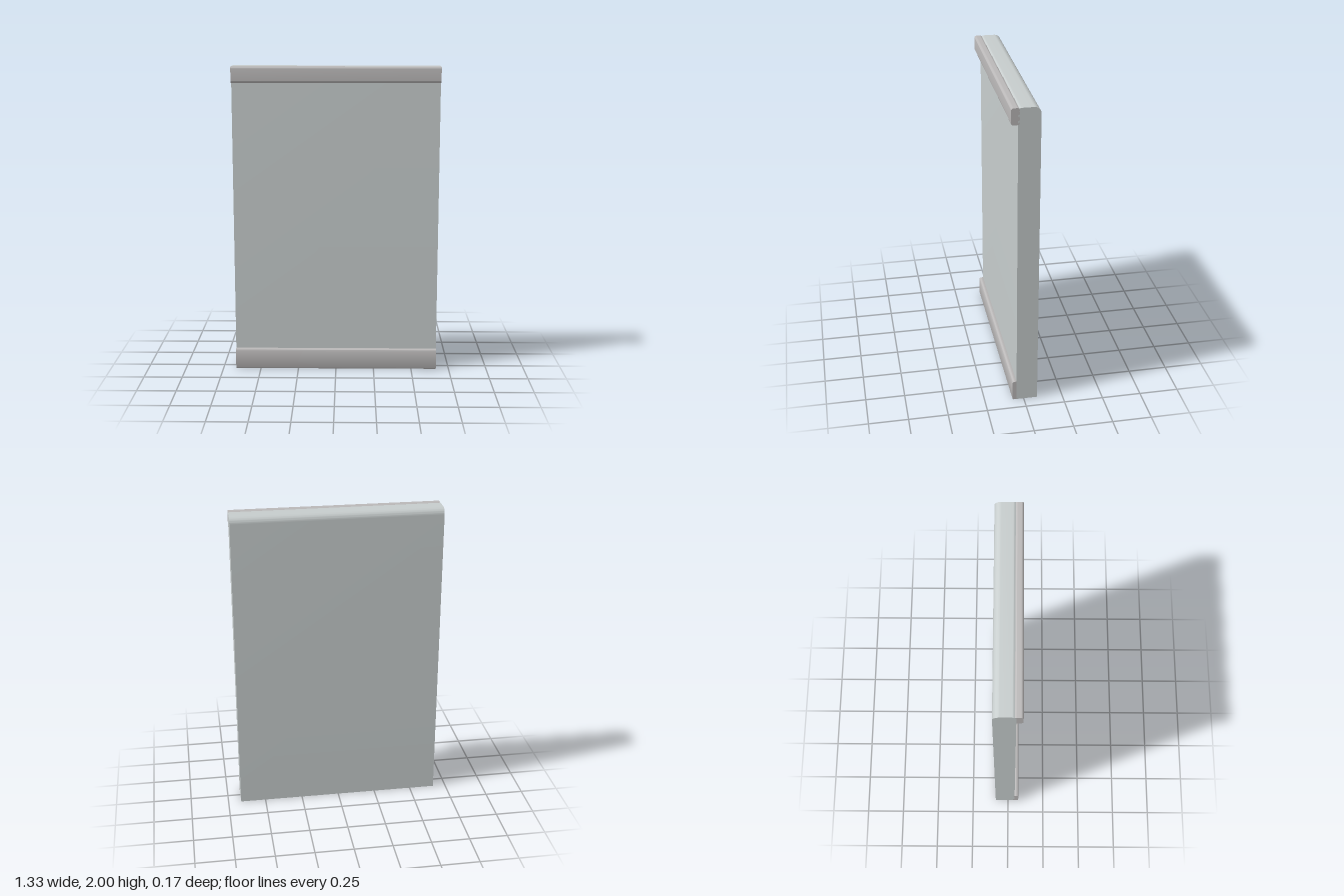
import * as THREE from 'three';
import { toCreasedNormals } from 'three/addons/utils/BufferGeometryUtils.js';

const WIDTH = 1.33;

// Rounded rectangle in the z-y plane; radii: bottom front, top front, top back, bottom back
function profile(back, front, low, high, [bf, tf, tb, bb]) {
  const s = new THREE.Shape();
  const corner = (cx, cy, r, start) => {
    if (r > 0) s.absarc(cx, cy, r, start, start + Math.PI / 2, false);
    else s.lineTo(cx, cy);
  };
  s.moveTo(back + bb, low);
  corner(front - bf, low + bf, bf, -Math.PI / 2);
  corner(front - tf, high - tf, tf, 0);
  corner(back + tb, high - tb, tb, Math.PI / 2);
  corner(back + bb, low + bb, bb, Math.PI);
  return s;
}

// Sweep a z-y profile across the full width
function sweep(name, shape, color) {
  const extruded = new THREE.ExtrudeGeometry(shape, { depth: WIDTH, bevelEnabled: false, curveSegments: 8 });
  extruded.translate(0, 0, -WIDTH / 2);
  extruded.rotateY(-Math.PI / 2); // shape x becomes z
  const mesh = new THREE.Mesh(
    toCreasedNormals(extruded, Math.PI / 6),
    new THREE.MeshStandardMaterial({ color })
  );
  mesh.name = name;
  return mesh;
}

export function createModel() {
  const model = new THREE.Group();
  model.name = 'panel';

  // Main slab with a rounded top edge
  model.add(sweep('slab', profile(-0.0875, 0.047, 0, 2, [0, 0.022, 0.042, 0]), 0xc6cccc));

  // Trim rails along the top and bottom of the front face
  const rails = [
    ['topRail', profile(0.037, 0.0875, 1.897, 2, [0.014, 0.014, 0.012, 0.012])],
    ['bottomRail', profile(0.037, 0.0735, 0, 0.136, [0.01, 0.014, 0.01, 0])]
  ];
  for (const [name, shape] of rails) model.add(sweep(name, shape, 0xbab8b8));

  return model;
}
